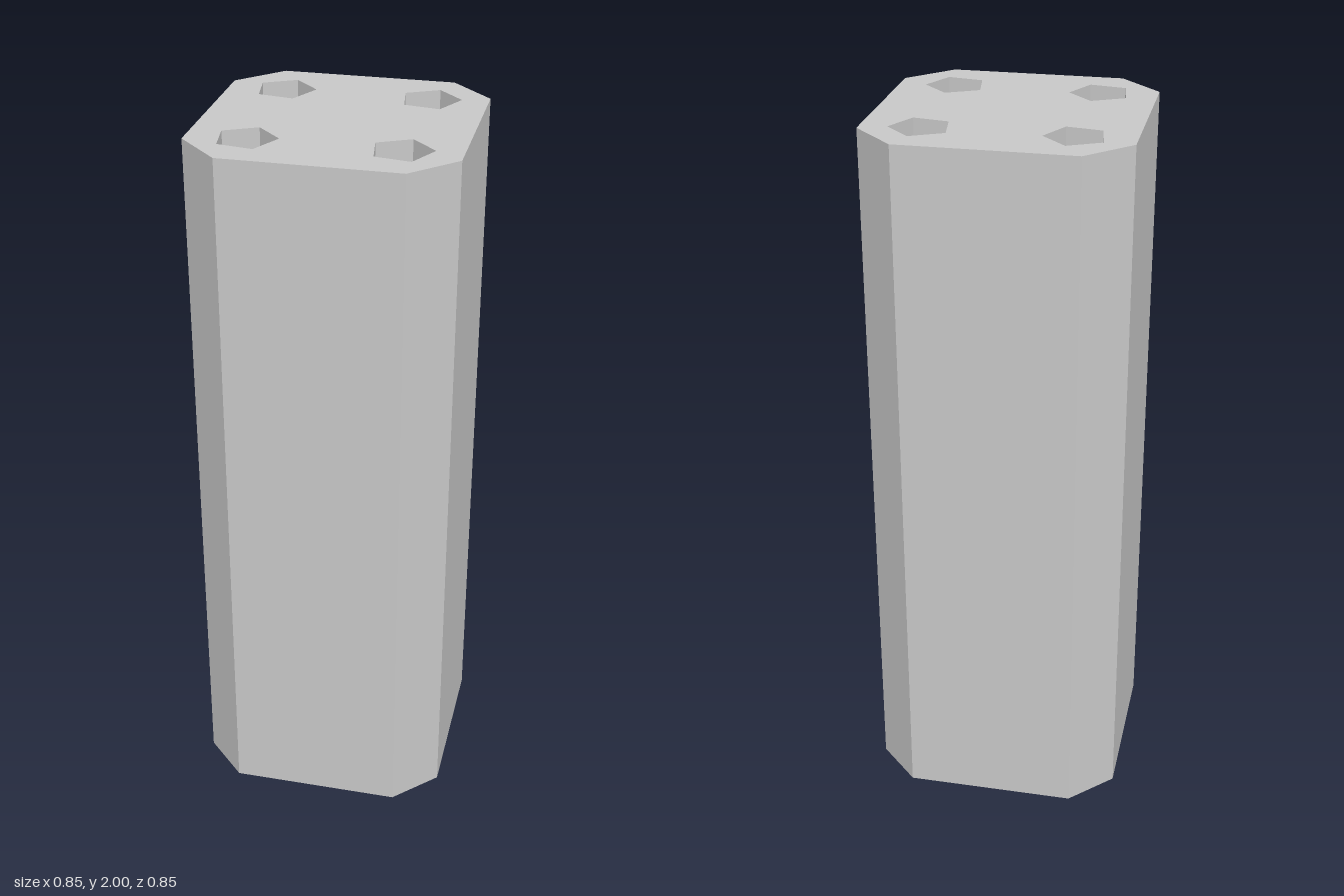
import * as THREE from 'three';

const HEIGHT = 2, SOCKET_DEPTH = 0.4, SOCKET_OFFSET = 0.285, SOCKET_RADIUS = 0.085;
const HALF = 0.425, FLAT = 0.083; // half width and half length of the narrow faces

const v = (x, y) => new THREE.Vector2(x, y);

// Flat-sided wall around a counter-clockwise outline (reverse it to face inward)
function wallGeometry(points, y0, y1) {
  const pos = [];
  points.forEach((p, i) => {
    const q = points[(i + 1) % points.length];
    const a = [p.x, y0, -p.y], b = [q.x, y0, -q.y], c = [q.x, y1, -q.y], d = [p.x, y1, -p.y];
    pos.push(...a, ...b, ...c, ...a, ...c, ...d);
  });
  const g = new THREE.BufferGeometry();
  g.setAttribute('position', new THREE.Float32BufferAttribute(pos, 3));
  g.computeVertexNormals();
  return g;
}

// Flat horizontal face, facing up (dir 1) or down (dir -1)
function capGeometry(points, holes, y, dir) {
  const shape = new THREE.Shape(points);
  holes.forEach((h) => shape.holes.push(new THREE.Path(h)));
  return new THREE.ShapeGeometry(shape).rotateX(-dir * Math.PI / 2).translate(0, y, 0);
}

export function createModel() {
  const grey = new THREE.MeshStandardMaterial({ color: 0xc8c8c8 });
  grey.name = 'light grey';
  const model = new THREE.Group();
  model.name = 'socketedColumn';
  const add = (name, geometry, parent = model) => {
    const mesh = new THREE.Mesh(geometry, grey);
    mesh.name = name;
    parent.add(mesh);
  };

  // Square column turned on its corner, with the four corners cut off
  const outline = [
    v(HALF, -FLAT), v(HALF, FLAT), v(FLAT, HALF), v(-FLAT, HALF),
    v(-HALF, FLAT), v(-HALF, -FLAT), v(-FLAT, -HALF), v(FLAT, -HALF),
  ];

  // Four pentagonal sockets, all pointing toward -x
  const sockets = [0, 1, 2, 3].map((k) => {
    const cx = SOCKET_OFFSET * Math.cos(k * Math.PI / 2);
    const cy = SOCKET_OFFSET * Math.sin(k * Math.PI / 2);
    return [0, 1, 2, 3, 4].map((i) => {
      const t = Math.PI + i * Math.PI * 2 / 5;
      return v(cx + SOCKET_RADIUS * Math.cos(t), cy + SOCKET_RADIUS * Math.sin(t));
    });
  });

  add('columnSides', wallGeometry(outline, 0, HEIGHT));

  // Both ends: pierced face, socket walls and socket floors
  for (const [end, y, dir] of [['top', HEIGHT, 1], ['bottom', 0, -1]]) {
    add(end + 'Face', capGeometry(outline, sockets, y, dir));
    const floorY = y - dir * SOCKET_DEPTH;
    sockets.forEach((points, i) => {
      const socket = new THREE.Group();
      socket.name = `${end}Socket${i + 1}`;
      add('socketWalls', wallGeometry([...points].reverse(), Math.min(y, floorY), Math.max(y, floorY)), socket);
      add('socketFloor', capGeometry(points, [], floorY, dir), socket);
      model.add(socket);
    });
  }
  return model;
}
